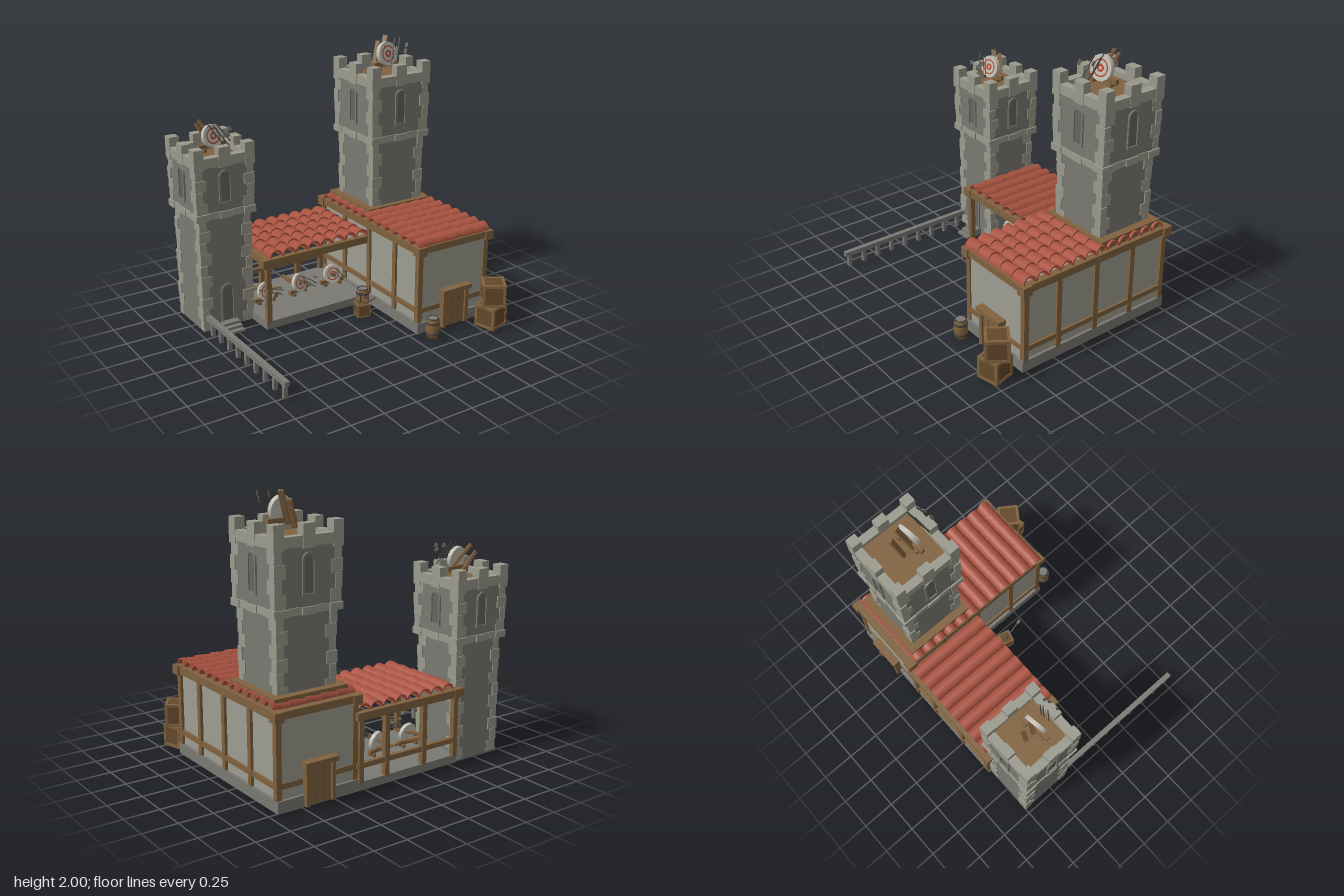
import * as THREE from 'three';

const mat = (name, color, side = THREE.FrontSide) => {
  const m = new THREE.MeshStandardMaterial({ color, side });
  m.name = name;
  return m;
};
const wood = mat('wood', 0x80623f);
const darkWood = mat('darkWood', 0x64492a);
const stone = mat('stone', 0x7a7973);
const lightStone = mat('lightStone', 0x9a9a8d);
const plaster = mat('plaster', 0x9e9d92);
const shade = mat('shadedStone', 0x65645f, THREE.DoubleSide);
const tileRed = mat('roofTile', 0xa85240, THREE.DoubleSide);
const white = mat('targetWhite', 0xbfbeb4);
const red = mat('targetRed', 0xb5452f);
const iron = mat('iron', 0x45433e);

function add(parent, name, geo, material, x = 0, y = 0, z = 0) {
  const m = new THREE.Mesh(geo, material);
  m.name = name;
  m.position.set(x, y, z);
  parent.add(m);
  return m;
}
// Box given by its limits on each axis
const box = (p, name, m, x0, x1, y0, y1, z0, z1) =>
  add(p, name, new THREE.BoxGeometry(x1 - x0, y1 - y0, z1 - z0), m, (x0 + x1) / 2, (y0 + y1) / 2, (z0 + z1) / 2);
// Box given by its centre and size
const cbox = (p, name, m, x, y, z, w, h, d) => add(p, name, new THREE.BoxGeometry(w, h, d), m, x, y, z);
// Square bar between two points
function bar(p, name, m, a, b, w, h = w) {
  const A = new THREE.Vector3(...a), B = new THREE.Vector3(...b);
  const d = B.clone().sub(A), c = A.clone().add(B).multiplyScalar(0.5);
  const mesh = add(p, name, new THREE.BoxGeometry(w, h, d.length()), m, c.x, c.y, c.z);
  mesh.lookAt(B);
  return mesh;
}
function group(parent, name, x = 0, y = 0, z = 0, ry = 0) {
  const g = new THREE.Group();
  g.name = name;
  g.position.set(x, y, z);
  g.rotation.y = ry;
  parent.add(g);
  return g;
}

// Arched opening: raised frame around a thin dark pane, facing +z
function arch(w, h, Type = THREE.Shape) {
  const s = new Type(), r = w / 2;
  s.moveTo(-r, 0);
  s.lineTo(r, 0);
  s.lineTo(r, h - r);
  s.absarc(0, h - r, r, 0, Math.PI, false);
  s.lineTo(-r, 0);
  return s;
}
function opening(p, name, w, h, x, y, z, ry = 0) {
  const g = group(p, name, x, y, z, ry);
  const frame = arch(w, h), hole = arch(w - 0.03, h - 0.03, THREE.Path);
  frame.holes.push(new THREE.Path(hole.getPoints(6).map(q => q.add(new THREE.Vector2(0, 0.015)))));
  add(g, 'frame', new THREE.ExtrudeGeometry(frame, { depth: 0.012, bevelEnabled: false, curveSegments: 6 }), stone);
  add(g, 'pane', new THREE.ShapeGeometry(arch(w - 0.02, h - 0.01), 6), shade, 0, 0, 0.003);
}

// Alternating corner stones on a square shaft
function quoins(p, half, y0, y1, n) {
  const h = (y1 - y0) / n;
  for (const sx of [-1, 1]) for (const sz of [-1, 1]) for (let i = 0; i < n; i++) {
    const a = i % 2 ? 0.055 : 0.085, b = i % 2 ? 0.085 : 0.055, out = half + 0.008 + (i % 3) * 0.003;
    cbox(p, 'cornerStone', lightStone, sx * (out - a / 2), y0 + (i + 0.5) * h, sz * (out - b / 2), a, h - 0.004, b);
  }
}

// Tower: shaft, wider head with windows, battlements and plank floor
function tower(root, name, cx, cz, half, head, y0, y1, y2, y3, winY, winH) {
  const g = group(root, name, cx, 0, cz);
  const inner = head - 0.012;
  box(g, 'shaft', stone, -half, half, y0, y1, -half, half);
  quoins(g, half - 0.005, y0, y1, Math.round((y1 - y0) / 0.085));
  box(g, 'head', stone, -inner, inner, y1, y2 + 0.01, -inner, inner);
  quoins(g, inner - 0.005, y1 + 0.05, y2, 4);
  box(g, 'towerFloor', wood, -inner + 0.03, inner - 0.03, y2, y2 + 0.03, -inner + 0.03, inner - 0.03);
  for (let k = 0; k < 4; k++) {
    const s = group(g, 'battlementSide', 0, 0, 0, k * Math.PI / 2);
    const t = 0.065, w = 2 * head / 5;
    for (let i = 0; i < 5; i++) {
      const x = -head + (i + 0.5) * w;
      cbox(s, 'baseStone', lightStone, x, y1 + 0.025 + (i % 2) * 0.004, head - t / 2 - (i % 2) * 0.005, w - 0.003, 0.05, t);
    }
    box(s, 'parapet', lightStone, -head + 0.003, head - t, y2, y2 + 0.07, head - t, head - 0.003);
    box(s, 'cornerMerlon', lightStone, -head, -head + 0.075, y2 - 0.02, y3, head - 0.075, head);
    box(s, 'middleMerlon', lightStone, -0.045, 0.045, y2 - 0.01, y3 - 0.005, head - t, head);
    opening(s, 'window', 0.1, winH, 0, winY, inner);
  }
}

// Arrow from its tip to its feathered end
function arrow(p, a, b) {
  bar(p, 'arrowShaft', iron, a, b, 0.007);
  const A = new THREE.Vector3(...a), B = new THREE.Vector3(...b);
  const c = A.clone().lerp(B, 0.82).toArray();
  bar(p, 'feather', iron, c, b, 0.022, 0.004);
  bar(p, 'feather', stone, c, b, 0.004, 0.022);
}

// Round target on a three-legged stand, with arrows
function target(root, x, y, z, s, ry) {
  const g = group(root, 'target', x, y, z, ry);
  g.scale.setScalar(s);
  bar(g, 'upright', wood, [0, 0.005, 0.01], [0, 0.247, -0.035], 0.036, 0.022);
  bar(g, 'rearLeg', wood, [0, 0.18, -0.03], [0, 0.008, -0.14], 0.034, 0.02);
  cbox(g, 'crossBar', wood, 0, 0.04, 0.018, 0.245, 0.036, 0.03);
  for (const sx of [-1, 1]) cbox(g, 'foot', wood, sx * 0.075, 0.014, 0.015, 0.03, 0.028, 0.06);
  const d = group(g, 'disc', 0, 0.115, 0.03);
  d.rotation.x = -0.2;
  add(d, 'face', new THREE.CylinderGeometry(0.09, 0.09, 0.032, 16).rotateX(Math.PI / 2), white);
  add(d, 'outerRing', new THREE.RingGeometry(0.052, 0.062, 20), red, 0, 0, 0.0175);
  add(d, 'bullseye', new THREE.RingGeometry(0.012, 0.028, 14), red, 0, 0, 0.0175);
  arrow(g, [-0.005, 0.11, 0.04], [-0.06, 0.19, 0.21]);
  arrow(g, [0.01, 0.12, 0.04], [0.055, 0.205, 0.2]);
  arrow(g, [0.005, 0.1, 0.04], [0.025, 0.165, 0.22]);
}

// Barrel-tile roof: columns along x, each tile rising towards its +z lip
function roof(root, name, cols, rows, width, length) {
  const g = group(root, name), r = width / cols / 2, step = length / rows;
  const s = new THREE.Shape();
  s.absarc(0, 0, r, 0, Math.PI, false);
  s.absarc(0, 0, r - 0.01, Math.PI, 0, true);
  const geo = new THREE.ExtrudeGeometry(s, { depth: step * 1.12, bevelEnabled: false, curveSegments: 6 });
  geo.rotateX(-0.09);
  for (let c = 0; c < cols; c++) for (let k = 0; k < rows; k++)
    add(g, 'tile', geo, tileRed, -width / 2 + (2 * c + 1) * r, 0, -length / 2 + k * step - step * 0.06);
  return g;
}

function crate(root, x, y, z, s, ry) {
  const g = group(root, 'crate', x, y, z, ry), h = s / 2, t = s * 0.12;
  cbox(g, 'panels', darkWood, 0, h, 0, s * 0.93, s * 0.93, s * 0.93);
  for (const a of [-1, 1]) for (const b of [-1, 1]) {
    const u = a * (h - t / 2), v = b * (h - t / 2);
    cbox(g, 'edge', wood, u, h, v, t, s, t);
    cbox(g, 'edge', wood, 0, h + u, v, s - 2 * t, t, t);
    cbox(g, 'edge', wood, u, h + v, 0, t, t, s - 2 * t);
  }
}

function barrel(root, x, z) {
  const g = group(root, 'barrel', x, 0.012, z);
  const pts = [[0, 0], [0.04, 0], [0.048, 0.04], [0.05, 0.075], [0.048, 0.11], [0.04, 0.15], [0.036, 0.15], [0.036, 0.14], [0, 0.14]];
  add(g, 'staves', new THREE.LatheGeometry(pts.map(p => new THREE.Vector2(...p)), 12), wood);
  for (const y of [0.035, 0.115]) add(g, 'hoop', new THREE.CylinderGeometry(0.0505, 0.0505, 0.014, 12), iron, 0, y, 0);
  add(g, 'rim', new THREE.TorusGeometry(0.04, 0.005, 4, 12).rotateX(Math.PI / 2), iron, 0, 0.15, 0);
  add(g, 'lid', new THREE.CylinderGeometry(0.037, 0.037, 0.006, 12), stone, 0, 0.146, 0);
}

// Plank door with posts and lintel, facing +z
function door(root, x, z, ry) {
  const g = group(root, 'door', x, 0, z, ry);
  box(g, 'planks', wood, -0.09, 0.09, 0.02, 0.285, -0.01, 0.02);
  for (const sx of [-1, 1]) cbox(g, 'doorPost', wood, sx * 0.1, 0.15, 0.012, 0.03, 0.27, 0.045);
  for (const px of [-0.03, 0.03]) cbox(g, 'plankGap', darkWood, px, 0.15, 0.02, 0.004, 0.26, 0.003);
  box(g, 'lintel', wood, -0.128, 0.128, 0.285, 0.318, -0.01, 0.052);
}

export function createModel() {
  const root = new THREE.Group();
  root.name = 'archeryRange';

  // Towers
  tower(root, 'lowTower', -0.762, -0.55, 0.2, 0.235, 0.005, 0.865, 1.25, 1.39, 0.97, 0.25);
  tower(root, 'highTower', 0.634, -0.425, 0.225, 0.262, 0.7, 1.24, 1.67, 1.82, 1.36, 0.275);
  opening(root, 'towerDoor', 0.11, 0.31, -0.765, 0.035, -0.352);
  for (let i = 0; i < 3; i++) box(root, 'step', stone, -0.83, -0.7, i * 0.018, i * 0.018 + 0.018, -0.36, -0.21 - i * 0.04);

  // House: plinth, walls and timber frame
  const house = group(root, 'house');
  box(house, 'plinth', stone, 0.305, 0.945, 0.008, 0.09, -0.775, 0.53);
  box(house, 'walls', plaster, 0.325, 0.925, 0.09, 0.665, -0.755, 0.51);
  for (const x of [0.328, 0.926]) {
    for (const z of [0.5, 0.22, -0.11, -0.44, -0.745]) cbox(house, 'post', wood, x, 0.36, z, 0.04, 0.54, 0.04);
    cbox(house, 'rail', wood, x, 0.18, -0.12, 0.034, 0.038, 1.24);
    cbox(house, 'topBeam', wood, x, 0.65, -0.12, 0.055, 0.055, 1.32);
  }
  for (const z of [0.5, -0.745]) {
    cbox(house, 'rail', wood, 0.627, 0.18, z, 0.6, 0.038, 0.034);
    cbox(house, 'topBeam', wood, 0.628, 0.655, z + Math.sign(z) * 0.01, 0.67, 0.05, 0.055);
    for (const x of [0.325, 0.935]) cbox(house, 'beamEnd', wood, x, 0.647, z + Math.sign(z) * 0.01, 0.07, 0.068, 0.075);
  }
  const hr = roof(house, 'houseRoof', 12, 5, 1.25, 0.625);
  hr.rotation.y = Math.PI / 2;
  hr.position.set(0.623, 0.673, -0.1);
  box(house, 'towerBase', wood, 0.35, 0.918, 0.66, 0.742, -0.71, -0.16);
  door(house, 0.625, 0.53, 0);
  door(house, 0.63, -0.77, Math.PI);

  // Open shed between the tower and the house
  const shed = group(root, 'shed');
  box(shed, 'floor', stone, -0.565, 0.5, 0.005, 0.065, -0.775, -0.13);
  for (const x of [-0.54, -0.255, 0.072, 0.29]) cbox(shed, 'backPost', wood, x, 0.285, -0.765, 0.038, 0.45, 0.038);
  cbox(shed, 'frontPost', wood, -0.54, 0.285, -0.145, 0.038, 0.45, 0.038);
  box(shed, 'backRail', wood, -0.55, 0.32, 0.162, 0.198, -0.78, -0.75);
  for (const z of [-0.77, -0.135]) {
    box(shed, 'topBeam', wood, -0.585, 0.33, 0.5, 0.555, z - 0.025, z + 0.02);
    box(shed, 'beamEnd', wood, -0.595, -0.515, 0.497, 0.558, z - 0.03, z + 0.027);
  }
  box(shed, 'sideBeam', wood, -0.565, -0.52, 0.5, 0.552, -0.78, -0.12);
  roof(shed, 'shedRoof', 8, 5, 0.84, 0.63).position.set(-0.11, 0.553, -0.44);

  // Targets on the towers and in the shed
  target(root, 0.63, 1.752, -0.39, 1, 0.15);
  target(root, -0.765, 1.312, -0.53, 0.94, 0.15);
  target(root, -0.405, 0.065, -0.45, 0.82, 0.05);
  target(root, -0.12, 0.065, -0.45, 0.82, 0.3);
  target(root, 0.19, 0.065, -0.45, 0.82, -0.1);

  // Rail fence
  const fence = group(root, 'fence');
  box(fence, 'fenceRail', stone, -0.95, -0.912, 0.1, 0.135, -0.34, 0.79);
  for (let i = 0; i < 9; i++) cbox(fence, 'fencePost', stone, -0.931, 0.055, -0.27 + i * 0.128, 0.028, 0.1, 0.028);

  // Crates, barrels and arrow box
  crate(root, 0.855, 0.008, 0.69, 0.168, 0.25);
  crate(root, 0.87, 0.176, 0.685, 0.17, -0.6);
  barrel(root, 0.23, -0.065);
  barrel(root, 0.37, 0.62);
  crate(root, 0.16, 0, 0.03, 0.1, -0.25);
  arrow(root, [0.16, 0.08, 0.04], [0.17, 0.2, 0.19]);
  arrow(root, [0.15, 0.08, 0.02], [0.14, 0.19, 0.04]);
  return root;
}
